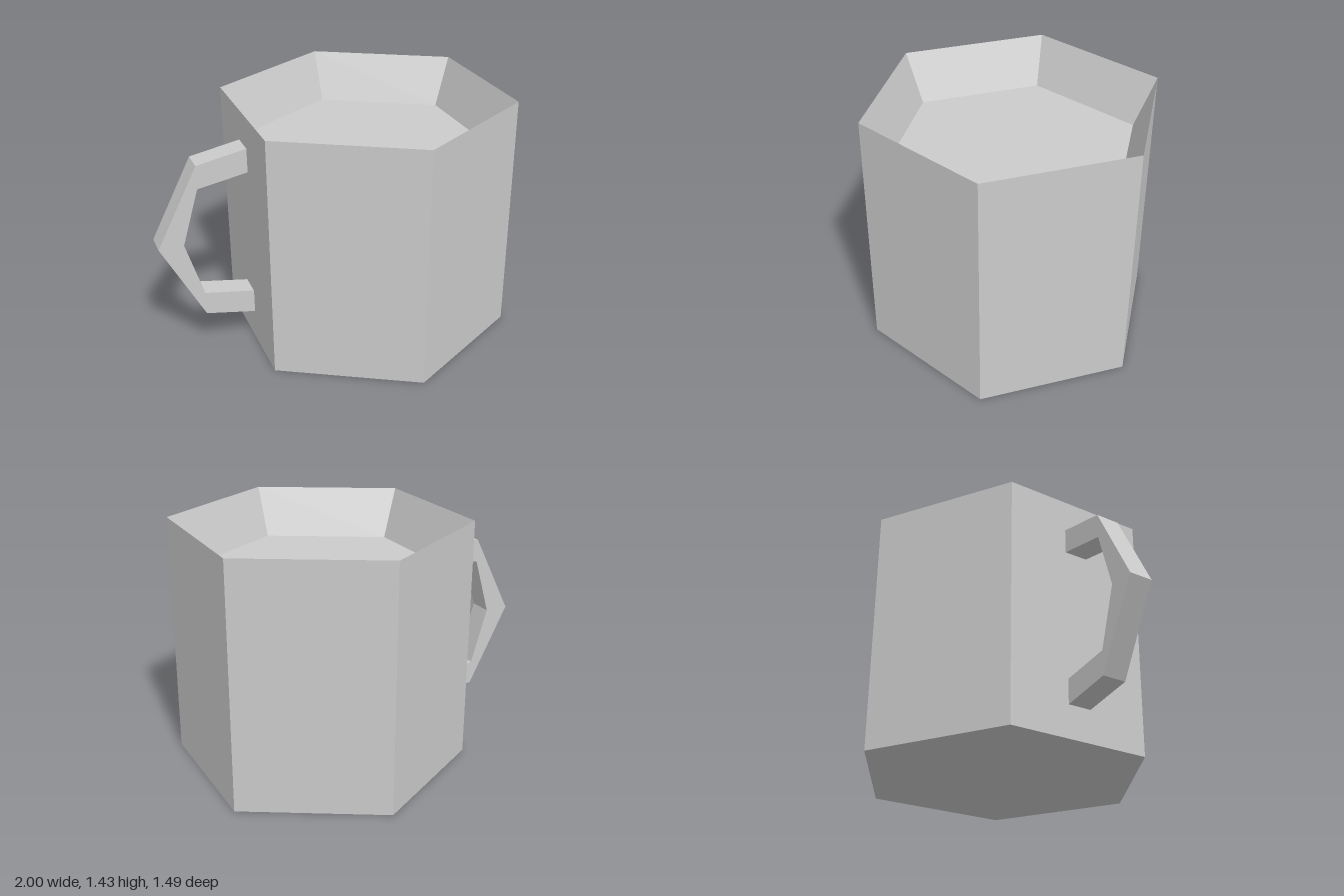
import * as THREE from 'three';

const CENTRE_X = 0.14;

// Flat-shaded grey mesh with a part name
function part(geometry, name) {
  const flat = geometry.index ? geometry.toNonIndexed() : geometry;
  flat.computeVertexNormals();
  const mesh = new THREE.Mesh(flat, new THREE.MeshStandardMaterial({ color: 0xcccccc, flatShading: true }));
  mesh.name = name;
  return mesh;
}

const lathe = (profile) =>
  new THREE.LatheGeometry(profile.map(([r, y]) => new THREE.Vector2(r, y)), 6, Math.PI / 2);

export function createModel() {
  const group = new THREE.Group();
  group.name = 'mug';

  // Hexagonal body: base, outer walls, sharp rim and sloping inner walls
  const body = part(lathe([[0, 0], [0.858, 0], [0.858, 1.432], [0.73, 1.147]]), 'body');
  body.position.x = CENTRE_X;
  group.add(body);

  // Flat surface of the contents
  const filling = part(lathe([[0.73, 1.147], [0, 1.147]]), 'filling');
  filling.position.x = CENTRE_X;
  group.add(filling);

  // Angular handle: mirrored outline (distance from body axis, height from mid-line)
  const mid = 0.717;
  const outer = [[0.74, 0.528], [1.033, 0.472], [1.276, 0]];
  const inner = [[1.132, 0], [1.033, 0.333], [0.74, 0.385]];
  const mirror = (points) => points.filter(([, h]) => h > 0).reverse().map(([d, h]) => [d, -h]);
  const outline = [...outer, ...mirror(outer), ...mirror(inner), ...inner];
  const shape = new THREE.Shape(outline.map(([d, h]) => new THREE.Vector2(d, mid + h)));
  const width = 0.14;
  const handleGeometry = new THREE.ExtrudeGeometry(shape, { depth: width, bevelEnabled: false });
  handleGeometry.translate(0, 0, -width / 2);
  const handle = part(handleGeometry, 'handle');
  handle.position.x = CENTRE_X;
  handle.rotation.y = (150 * Math.PI) / 180;
  group.add(handle);

  return group;
}
